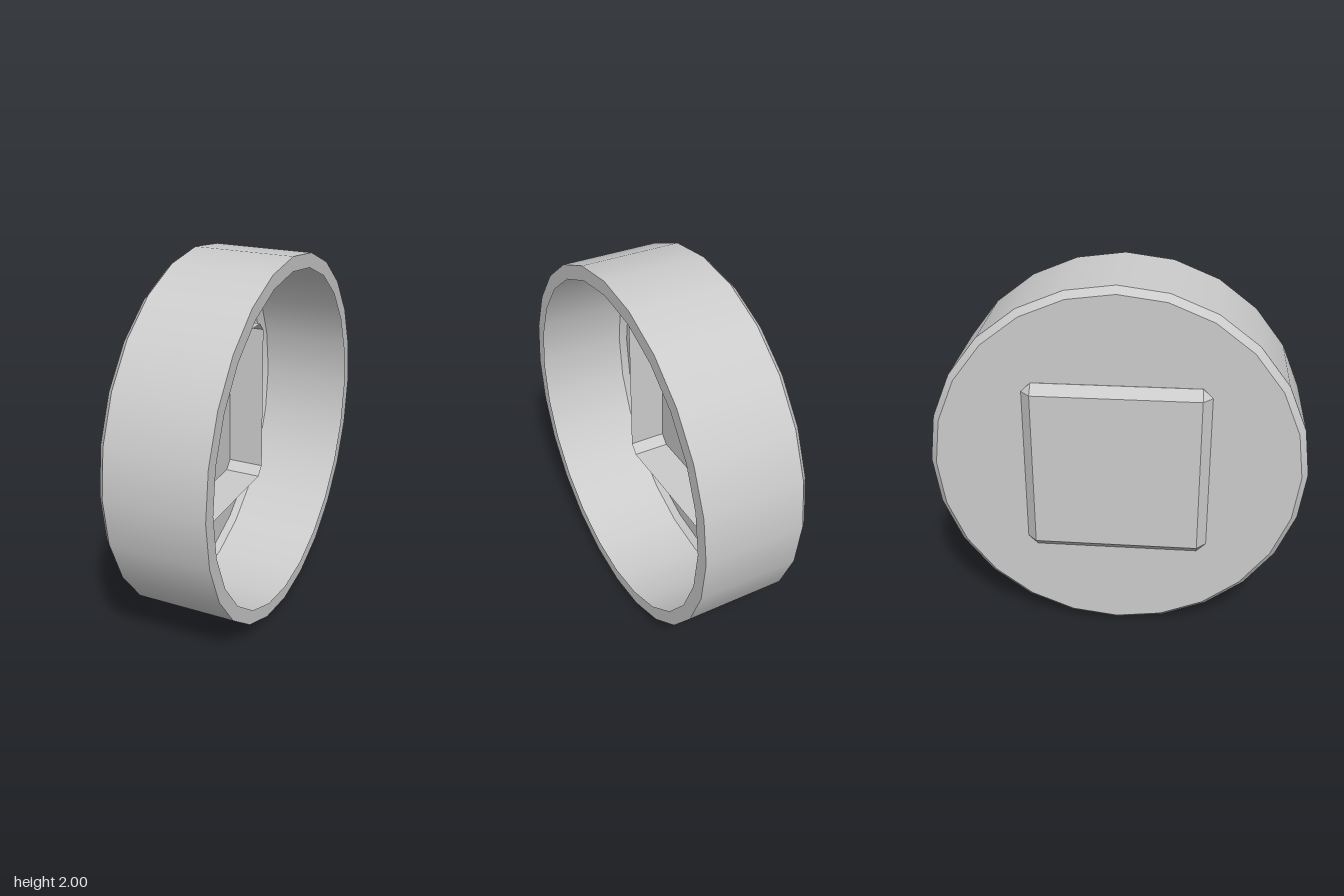
import * as THREE from 'three';

const SIDES = 24;
const RIM_X = 0.313, WALL_X = -0.23, FLOOR_X = -0.265; // stations along the cap's axis
const BOSS_X = -0.317, SOCKET_X = -0.05;

const smooth = new THREE.MeshStandardMaterial({ color: 0xcccccc, side: THREE.DoubleSide });
const flat = new THREE.MeshStandardMaterial({ color: 0xcccccc, side: THREE.DoubleSide, flatShading: true });

// Open band around the x axis, from (x0, r0) to (x1, r1)
function band(x0, r0, x1, r1) {
  return new THREE.CylinderGeometry(r1, r0, x1 - x0, SIDES, 1, true)
    .rotateZ(-Math.PI / 2)
    .translate((x0 + x1) / 2, 0, 0);
}

// Thin square sleeve with bevelled edges: closed and bevelled at -x, open at +x
function sleeveGeometry(half, bevel) {
  const f = half - bevel;
  const octagon = [], square = [];
  for (const [sy, sz] of [[1, 1], [-1, 1], [-1, -1], [1, -1]]) {
    const pair = [[sy * half, sz * f], [sy * f, sz * half]];
    if (sy * sz > 0) octagon.push(...pair);
    else octagon.push(pair[1], pair[0]);
    square.push([sy * f, sz * f], [sy * f, sz * f]);
  }
  const rings = [[BOSS_X, square], [BOSS_X + bevel, octagon], [SOCKET_X, octagon]]
    .map(([x, ring]) => ring.map(([y, z]) => [x, y, z]));
  const pos = [];
  const tri = (a, b, c) => pos.push(...a, ...b, ...c);
  for (let k = 0; k < 2; k++) {
    for (let i = 0; i < 8; i++) {
      const j = (i + 1) % 8;
      const [a, b, c, d] = [rings[k][i], rings[k][j], rings[k + 1][j], rings[k + 1][i]];
      if (k > 0 || i % 2) tri(a, c, b); // bevel corners collapse to one triangle
      tri(a, d, c);
    }
  }
  // end face
  const e = rings[0];
  tri(e[0], e[2], e[4]);
  tri(e[0], e[4], e[6]);
  const g = new THREE.BufferGeometry();
  g.setAttribute('position', new THREE.Float32BufferAttribute(pos, 3));
  g.computeVertexNormals();
  return g;
}

export function createModel() {
  const model = new THREE.Group();
  model.name = 'roundCap';
  const add = (name, geometry, material) => {
    const mesh = new THREE.Mesh(geometry, material);
    mesh.name = name;
    mesh.position.y = 1;
    model.add(mesh);
  };

  // round shell with a bevelled closed end
  add('outerWall', band(WALL_X, 1, RIM_X, 1), smooth);
  add('edgeBevel', band(FLOOR_X, 0.965, WALL_X, 1), smooth);
  add('endPlate', new THREE.CircleGeometry(0.965, SIDES).rotateY(-Math.PI / 2).translate(FLOOR_X, 0, 0), flat);

  // thin lip turned inward at the open end
  add('rimLip', new THREE.RingGeometry(0.923, 1, SIDES).rotateY(Math.PI / 2).translate(RIM_X, 0, 0), flat);

  // square sleeve passing through the end plate
  add('squareSleeve', sleeveGeometry(0.487, 0.05), flat);

  return model;
}
